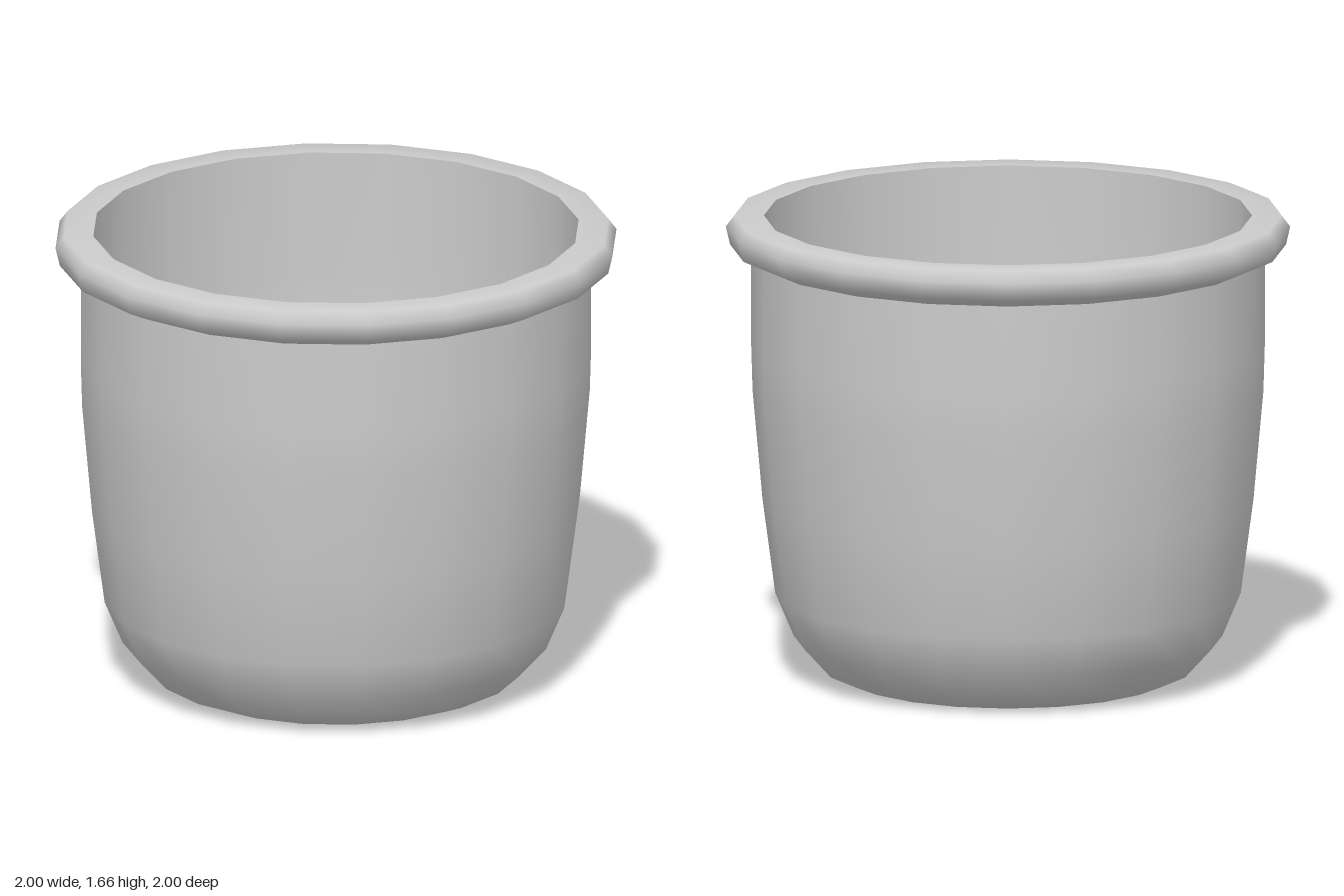
import * as THREE from 'three';

const SIDES = 20;
const material = new THREE.MeshStandardMaterial({ color: 0xcccccc });

// Revolves a profile of [radius, height] points; separate parts keep crisp edges between them
function turned(name, profile) {
  const points = profile.map(([r, y]) => new THREE.Vector2(r, y));
  const mesh = new THREE.Mesh(new THREE.LatheGeometry(points, SIDES), material);
  mesh.name = name;
  return mesh;
}

export function createModel() {
  const pot = new THREE.Group();
  pot.name = 'pot';

  // Profiles run in order from the underside, up the outside, over the rim and down inside
  pot.add(
    turned('base', [[0, 0], [0.575, 0]]),
    turned('outerWall', [
      [0.575, 0], [0.66, 0.035], [0.76, 0.145], [0.825, 0.3],
      [0.87, 0.64], [0.905, 1.03], [0.91, 1.2], [0.91, 1.525],
    ]),
    turned('rim', [
      [0.91, 1.525], [0.985, 1.56], [1, 1.625], [0.97, 1.665], [0.865, 1.665],
    ]),
    turned('innerWall', [
      [0.865, 1.665], [0.865, 1.2], [0.86, 1.03], [0.83, 0.64],
      [0.795, 0.32], [0.73, 0.17], [0.64, 0.07], [0.57, 0.045],
    ]),
    turned('floor', [[0.57, 0.045], [0, 0.045]]),
  );
  return pot;
}
